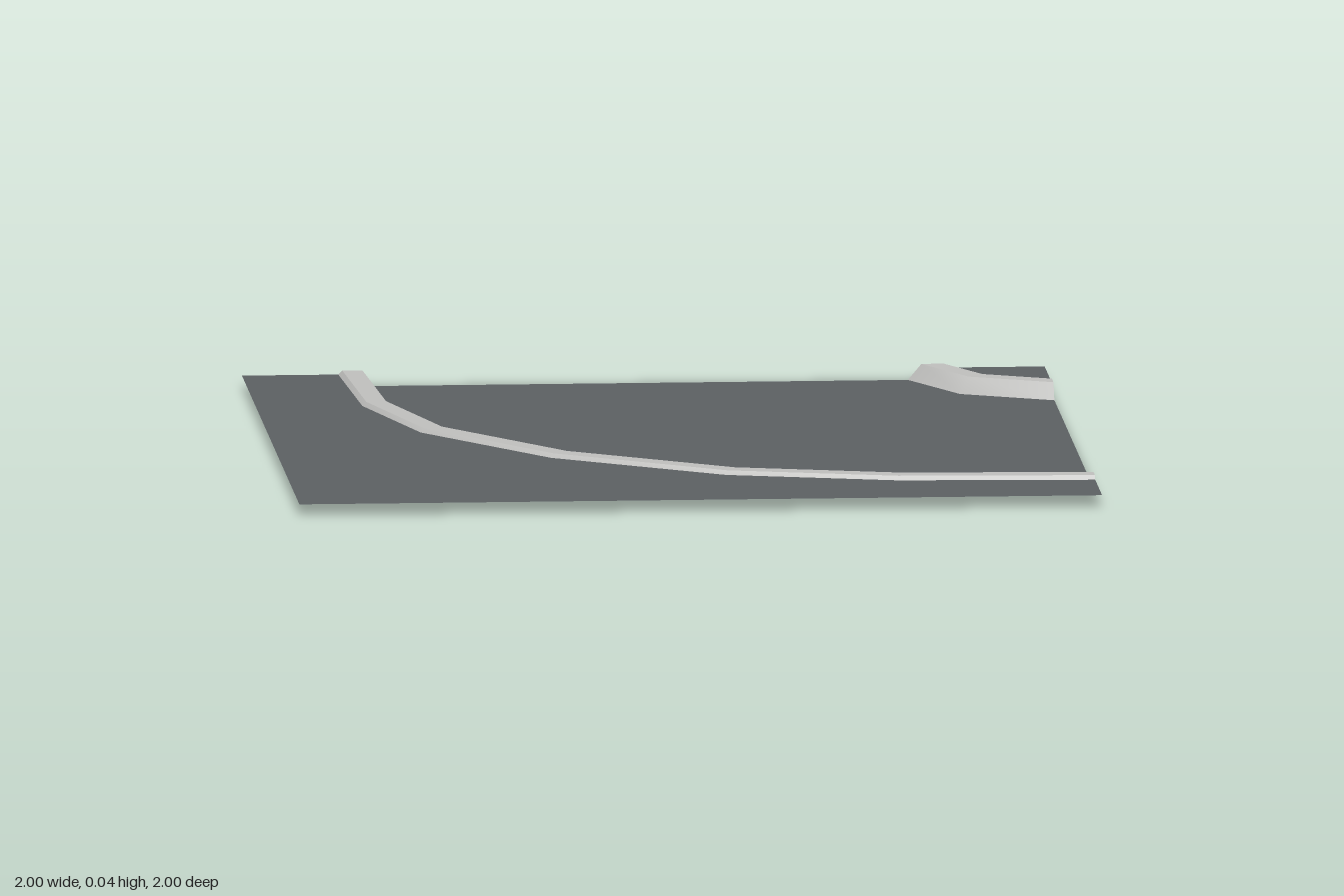
import * as THREE from 'three';

const ground = new THREE.MeshStandardMaterial({ color: 0x5d6164, side: THREE.DoubleSide });
ground.name = 'asphaltGrey';
const stone = new THREE.MeshStandardMaterial({ color: 0xc2c2c0, side: THREE.DoubleSide });
stone.name = 'kerbGrey';

const WALK_Y = 0.03;
// Kerb cross-section: [distance towards the road, height]
const PROFILE = [[0, WALK_Y], [0.01, 0.04], [0.06, 0.04], [0.09, 0]];

// Moves a path of [x, z] points towards the road, keeping its ends on the tile border
function offsetPath(path, d) {
  const normal = (a, b) => {
    const l = Math.hypot(b[0] - a[0], b[1] - a[1]);
    return [(b[1] - a[1]) / l, (a[0] - b[0]) / l];
  };
  const last = path.length - 1;
  return path.map((p, i) => {
    if (i === 0 || i === last) {
      const n = i === 0 ? normal(p, path[1]) : normal(path[i - 1], p);
      return Math.abs(p[0]) === 1 ? [p[0], p[1] + d / n[1]] : [p[0] + d / n[0], p[1]];
    }
    const a = normal(path[i - 1], p), b = normal(p, path[i + 1]);
    const k = d / (1 + a[0] * b[0] + a[1] * b[1]);
    return [p[0] + (a[0] + b[0]) * k, p[1] + (a[1] + b[1]) * k];
  });
}

// One kerb: a strip per profile edge, smooth along the bend and sharp across it
function kerb(name, path) {
  const group = new THREE.Group();
  group.name = name;
  ['kerbLip', 'kerbTop', 'kerbSlope'].forEach((part, j) => {
    const positions = [], index = [];
    const rows = [PROFILE[j], PROFILE[j + 1]].map(([d, y]) => ({ y, points: offsetPath(path, d) }));
    path.forEach((_, i) => {
      for (const { y, points } of rows) positions.push(points[i][0], y, points[i][1]);
      if (i < path.length - 1) {
        const a = i * 2;
        index.push(a, a + 2, a + 1, a + 1, a + 2, a + 3);
      }
    });
    const geometry = new THREE.BufferGeometry();
    geometry.setAttribute('position', new THREE.Float32BufferAttribute(positions, 3));
    geometry.setIndex(index);
    geometry.computeVertexNormals();
    const mesh = new THREE.Mesh(geometry, stone);
    mesh.name = part;
    group.add(mesh);
  });
  return group;
}

// Flat ground piece from an outline of [x, z] points
function slab(name, outline, y) {
  const shape = new THREE.Shape(outline.map(([x, z]) => new THREE.Vector2(x, -z)));
  const mesh = new THREE.Mesh(new THREE.ShapeGeometry(shape).rotateX(-Math.PI / 2), ground);
  mesh.position.y = y;
  mesh.name = name;
  return mesh;
}

export function createModel() {
  const model = new THREE.Group();
  model.name = 'roadCorner';

  // Outer bend is mirrored about the tile diagonal
  const half = [[-0.76, -1], [-0.735, -0.51], [-0.62, -0.09]];
  const outer = [...half, [-0.325, 0.325], ...half.map(([x, z]) => [-z, -x]).reverse()];
  const inner = [[1, -0.76], [0.84, -0.84], [0.76, -1]];
  const foot = PROFILE[3][0];

  model.add(
    slab('road', [...offsetPath(outer, foot), ...offsetPath(inner, foot)], 0),
    slab('outerPavement', [...outer, [1, 1], [-1, 1], [-1, -1]], WALK_Y),
    slab('innerPavement', [...inner, [1, -1]], WALK_Y),
    kerb('outerKerb', outer),
    kerb('innerKerb', inner),
  );
  return model;
}
